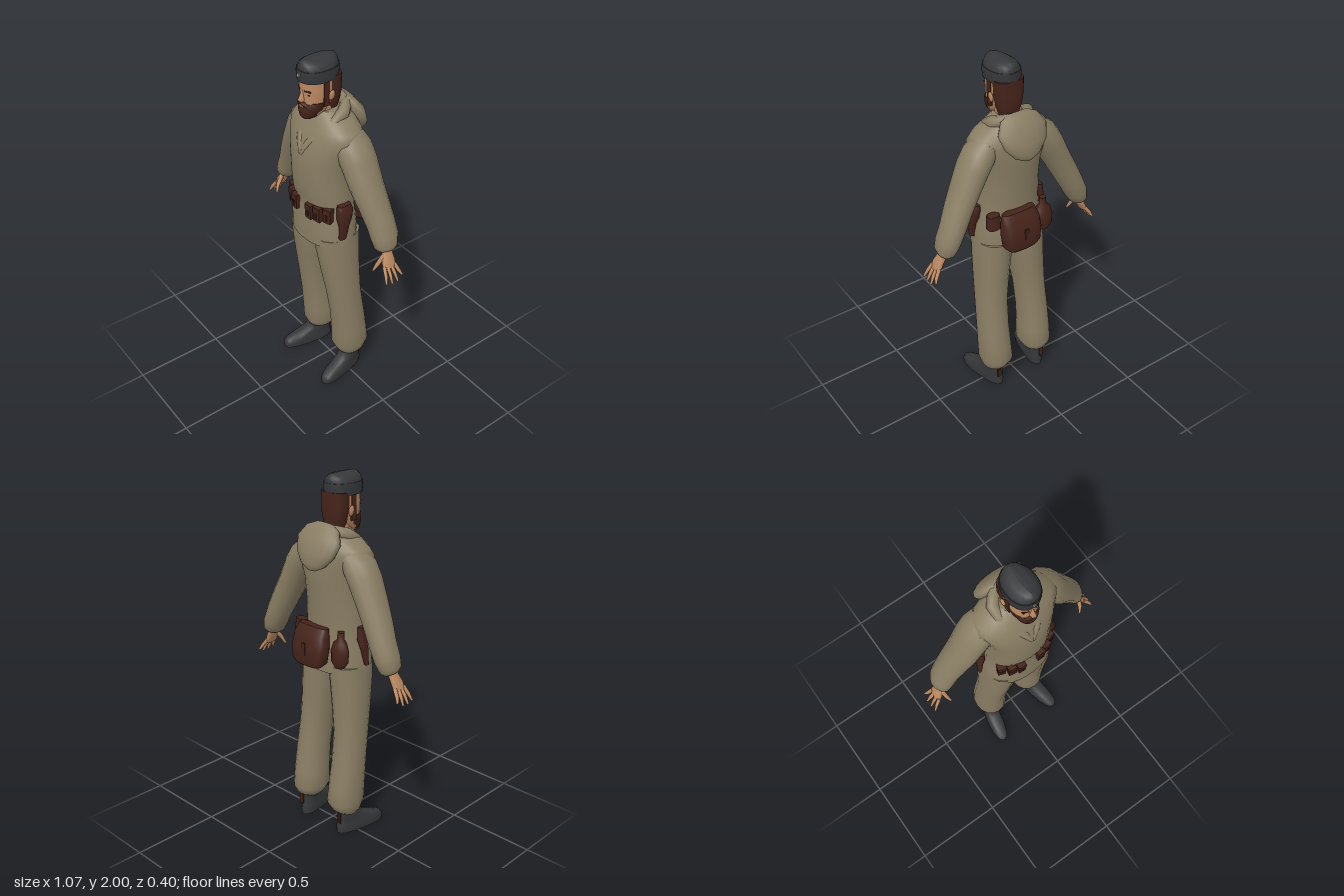
import * as THREE from 'three';

const mat = (name, color) => Object.assign(new THREE.MeshStandardMaterial({ color }), { name });

// Skin through rings [x, y, z, half depth, half width] along a path; closed at both ends
function loft(rings, { n = 14, p = 2, flat = false, ref = [0, 0, 1] } = {}) {
  const pos = [], idx = [], c = rings.map(r => new THREE.Vector3(r[0], r[1], r[2]));
  const last = rings.length - 1;
  const pw = v => Math.sign(v) * Math.abs(v) ** (2 / p);
  rings.forEach((r, i) => {
    const t = c[Math.min(i + 1, last)].clone().sub(c[Math.max(i - 1, 0)]);
    if (flat) t.set(0, 1, 0);
    t.normalize();
    const u = new THREE.Vector3(...ref).addScaledVector(t, -t.dot(new THREE.Vector3(...ref))).normalize();
    const v = t.clone().cross(u);
    for (let j = 0; j < n; j++) {
      const a = (j / n) * Math.PI * 2;
      const q = c[i].clone().addScaledVector(u, r[3] * pw(Math.cos(a))).addScaledVector(v, r[4] * pw(Math.sin(a)));
      pos.push(q.x, q.y, q.z);
    }
  });
  for (let i = 0; i < last; i++) for (let j = 0; j < n; j++) {
    const k = (j + 1) % n, a = i * n;
    idx.push(a + j, a + k, a + n + j, a + k, a + n + k, a + n + j);
  }
  for (const i of [0, last]) {
    const base = pos.length / 3;
    pos.push(...pos.slice(i * n * 3, (i + 1) * n * 3), c[i].x, c[i].y, c[i].z);
    for (let j = 0; j < n; j++) {
      const k = (j + 1) % n;
      idx.push(base + n, base + (i ? j : k), base + (i ? k : j));
    }
  }
  const g = new THREE.BufferGeometry();
  g.setAttribute('position', new THREE.Float32BufferAttribute(pos, 3));
  g.setIndex(idx);
  g.computeVertexNormals();
  return g;
}

export function createModel() {
  const root = new THREE.Group();
  root.name = 'soldier';
  const cloth = mat('khaki cloth', 0x8a7e64), skin = mat('skin', 0xbd8a62), hair = mat('brown hair', 0x45241a);
  const leather = mat('brown leather', 0x45231a), dark = mat('charcoal', 0x36373a);
  const soleMat = mat('sole', 0x5c5240), metal = mat('badge metal', 0x8c8c8c), eyeMat = mat('eye', 0x2a1c16);

  const add = (name, geo, m, parent = root) => {
    const mesh = new THREE.Mesh(geo, m);
    mesh.name = name;
    parent.add(mesh);
    return mesh;
  };
  const box = (name, w, h, d, x, y, z, m, parent = root) => {
    const b = add(name, new THREE.BoxGeometry(w, h, d), m, parent);
    b.position.set(x, y, z);
    return b;
  };

  // Jacket: rows of [height, half width, front z, back z]
  const body = [
    [0.96, 0.203, 0.183, -0.105], [1.05, 0.2, 0.182, -0.105], [1.13, 0.188, 0.175, -0.1],
    [1.19, 0.18, 0.172, -0.098], [1.24, 0.182, 0.184, -0.1], [1.32, 0.178, 0.194, -0.105],
    [1.45, 0.185, 0.196, -0.115], [1.53, 0.21, 0.182, -0.12], [1.6, 0.235, 0.155, -0.115],
    [1.64, 0.21, 0.138, -0.108], [1.68, 0.155, 0.118, -0.095], [1.72, 0.085, 0.095, -0.07],
  ];
  add('jacket', loft(body.map(([y, w, f, b]) => [0, y, (f + b) / 2, (f - b) / 2, w]), { n: 24, p: 2.2, flat: true }), cloth);
  add('collar', loft([[0, 1.58, 0.06, 0.08, 0.09], [0, 1.66, 0.05, 0.068, 0.074], [0, 1.71, 0.045, 0.062, 0.066]],
    { flat: true }), cloth);

  // Hood hanging on the back, with its rolled edge around the neck
  add('hood', loft([
    [0, 1.755, -0.055, 0.02, 0.06], [0, 1.735, -0.07, 0.038, 0.11], [0, 1.68, -0.1, 0.052, 0.145],
    [0, 1.61, -0.13, 0.05, 0.125], [0, 1.555, -0.15, 0.036, 0.075], [0, 1.53, -0.155, 0.012, 0.025],
  ], { n: 16 }), cloth);

  for (const s of [1, -1]) {
    const side = s > 0 ? 'left' : 'right';
    const m = rings => rings.map(([x, ...r]) => [x * s, ...r]);

    add(side + 'HoodRoll', loft(m([
      [0, 1.725, -0.07, 0.032, 0.03], [0.06, 1.725, -0.055, 0.032, 0.03], [0.105, 1.705, 0, 0.035, 0.032],
      [0.105, 1.675, 0.055, 0.03, 0.03], [0.075, 1.635, 0.11, 0.018, 0.026], [0.03, 1.56, 0.165, 0.012, 0.02],
      [0.004, 1.49, 0.187, 0.006, 0.008],
    ]), { n: 10, ref: [0, 1, 1] }), cloth);

    // Sleeve and hand
    add(side + 'Sleeve', loft(m([
      [0.15, 1.605, 0, 0.085, 0.06], [0.19, 1.555, 0, 0.1, 0.08], [0.232, 1.49, -0.003, 0.1, 0.08],
      [0.285, 1.385, -0.008, 0.094, 0.073], [0.332, 1.295, -0.018, 0.086, 0.071], [0.38, 1.195, -0.03, 0.079, 0.066],
      [0.414, 1.125, -0.032, 0.077, 0.062], [0.433, 1.075, -0.028, 0.066, 0.052], [0.44, 1.055, -0.026, 0.045, 0.034],
    ])), cloth);
    const hand = new THREE.Group();
    hand.name = side + 'Hand';
    root.add(hand);
    add('palm', loft(m([[0.436, 1.08, -0.025, 0.03, 0.024], [0.452, 1.04, -0.022, 0.032, 0.02],
      [0.472, 1.0, -0.016, 0.042, 0.018], [0.485, 0.968, -0.014, 0.038, 0.013]]), { n: 10 }), skin, hand);
    for (let i = 0; i < 4; i++) {
      const z = -0.045 + i * 0.021, tip = -0.07 + i * 0.036, drop = i === 0 ? 0.02 : i === 3 ? 0.008 : 0;
      add('finger', loft(m([[0.48, 0.985, z, 0.011, 0.011], [0.508, 0.945, (z + tip) / 2, 0.01, 0.01],
        [0.53 - drop / 2, 0.902 + drop, tip, 0.006, 0.006]]), { n: 7 }), skin, hand);
    }
    add('thumb', loft(m([[0.452, 1.035, 0, 0.014, 0.014], [0.444, 0.99, 0.034, 0.012, 0.011],
      [0.432, 0.95, 0.052, 0.006, 0.006]]), { n: 7 }), skin, hand);

    // Baggy trouser leg, gathered at the ankle
    add(side + 'TrouserLeg', loft(m([
      [0.145, 0.125, -0.035, 0.058, 0.054], [0.142, 0.145, -0.038, 0.082, 0.072], [0.135, 0.195, -0.04, 0.108, 0.092],
      [0.137, 0.29, -0.032, 0.104, 0.09], [0.137, 0.43, -0.017, 0.098, 0.087], [0.13, 0.6, 0.006, 0.099, 0.086],
      [0.118, 0.75, 0.02, 0.11, 0.093], [0.106, 0.9, 0.03, 0.123, 0.1], [0.1, 1.0, 0.033, 0.128, 0.1],
    ]), { n: 16, flat: true, p: 2.2 }), cloth);

    // Boot, toes turned out
    const boot = new THREE.Group();
    boot.name = side + 'Boot';
    boot.position.set(0.15 * s, 0, -0.03);
    boot.rotation.y = 0.19 * s;
    root.add(boot);
    add('bootUpper', loft([
      [0, 0.004, 0.078, 0.154, 0.044], [0, 0.03, 0.079, 0.156, 0.048], [0, 0.052, 0.073, 0.146, 0.046],
      [0, 0.075, 0.045, 0.112, 0.045], [0, 0.1, 0.015, 0.08, 0.046], [0, 0.13, 0, 0.064, 0.048], [0, 0.165, 0, 0.062, 0.05],
    ], { n: 16, p: 2.5, flat: true }), dark, boot);
    add('sole', loft([[0, 0, 0.078, 0.152, 0.043], [0, 0.004, 0.078, 0.154, 0.044]], { n: 16, p: 2.5, flat: true }), soleMat, boot);
    box('bootStrap', 0.022, 0.06, 0.008, 0.015 * s, 0.1, -0.072, leather, boot);

    // Front ammunition pouches
    for (const x of [0.06, 0.108, 0.152]) {
      const z = 0.037 + 0.138 * (1 - (x / 0.185) ** 2.2) ** (1 / 2.2);
      const pouch = new THREE.Group();
      pouch.name = side + 'AmmoPouch';
      pouch.position.set(x * s, 1.165, z + 0.004);
      pouch.rotation.y = s * Math.atan(0.5 * (x / 0.185) ** 2);
      root.add(pouch);
      box('pouchBody', 0.043, 0.08, 0.034, 0, 0, 0, leather, pouch);
      box('pouchFlap', 0.046, 0.034, 0.04, 0, 0.028, 0, leather, pouch);
      box('pouchTab', 0.01, 0.035, 0.006, 0, -0.005, 0.019, leather, pouch);
    }

    // Face details in pairs
    box(side + 'Eye', 0.024, 0.007, 0.006, 0.031 * s, 1.828, 0.158, eyeMat).rotation.y = 0.4 * s;
    box(side + 'Brow', 0.034, 0.008, 0.009, 0.033 * s, 1.847, 0.159, hair).rotation.y = 0.4 * s;
    box(side + 'Sideburn', 0.01, 0.13, 0.034, 0.071 * s, 1.825, 0.075, hair);
    const ear = add(side + 'Ear', new THREE.SphereGeometry(1, 8, 6), skin);
    ear.scale.set(0.01, 0.03, 0.019);
    ear.position.set(0.081 * s, 1.815, 0.05);
    ear.rotation.z = -0.15 * s;
  }

  // Head
  add('neck', loft([[0, 1.62, 0.04, 0.055, 0.055], [0, 1.76, 0.05, 0.055, 0.054]], { flat: true }), skin);
  add('head', loft([
    [0, 1.695, 0.125, 0.038, 0.036], [0, 1.72, 0.1, 0.067, 0.054], [0, 1.765, 0.08, 0.09, 0.066],
    [0, 1.81, 0.072, 0.097, 0.073], [0, 1.85, 0.07, 0.1, 0.075], [0, 1.91, 0.07, 0.1, 0.075],
  ], { n: 18, flat: true, p: 2.2 }), skin);
  add('hair', loft([
    [0, 1.715, 0.015, 0.04, 0.05], [0, 1.76, 0.015, 0.05, 0.064], [0, 1.82, 0.015, 0.055, 0.077], [0, 1.91, 0.017, 0.054, 0.08],
  ], { n: 16, flat: true, p: 2.6 }), hair);
  add('beard', loft([
    [0, 1.69, 0.14, 0.026, 0.028], [0, 1.703, 0.128, 0.048, 0.044], [0, 1.735, 0.11, 0.071, 0.06],
    [0, 1.762, 0.105, 0.072, 0.068], [0, 1.782, 0.09, 0.074, 0.071],
  ], { n: 16, flat: true, p: 2.2 }), hair);
  add('moustache', loft([[-0.042, 1.755, 0.15, 0.008, 0.007], [-0.02, 1.777, 0.172, 0.011, 0.01],
    [0, 1.782, 0.176, 0.011, 0.008], [0.02, 1.777, 0.172, 0.011, 0.01], [0.042, 1.755, 0.15, 0.008, 0.007]], { n: 8 }), hair);
  box('mouth', 0.034, 0.006, 0.008, 0, 1.762, 0.176, skin);
  add('nose', loft([[0, 1.785, 0.17, 0.012, 0.013], [0, 1.797, 0.172, 0.023, 0.017], [0, 1.815, 0.167, 0.019, 0.011],
    [0, 1.848, 0.162, 0.008, 0.008]], { n: 8, flat: true }), skin);

  // Side cap with a ridge on top and a turned-up band
  add('cap', loft([
    [0, 1.9, 0.073, 0.106, 0.08], [0, 1.955, 0.073, 0.108, 0.081], [0, 1.98, 0.073, 0.105, 0.063],
    [0, 1.994, 0.073, 0.095, 0.042], [0, 2.0, 0.073, 0.082, 0.008],
  ], { n: 20, flat: true, p: 2.2 }), dark);
  add('capBand', loft([[0, 1.893, 0.073, 0.108, 0.083], [0, 1.925, 0.073, 0.112, 0.086], [0, 1.955, 0.073, 0.111, 0.084]],
    { n: 20, flat: true, p: 2.2 }), dark);
  const badge = add('badge', new THREE.CylinderGeometry(0.011, 0.011, 0.006, 10), metal);
  badge.rotation.x = Math.PI / 2;
  badge.position.set(-0.003, 1.93, 0.186);

  // Gear around the waist
  add('holster', loft([[0.2, 1.02, 0.07, 0.02, 0.014], [0.205, 1.1, 0.065, 0.028, 0.018], [0.2, 1.15, 0.06, 0.042, 0.026],
    [0.197, 1.2, 0.055, 0.046, 0.027], [0.19, 1.228, 0.055, 0.04, 0.018]], { n: 12, flat: true, p: 3 }), leather);
  add('scabbard', loft([[-0.222, 1.02, 0.025, 0.012, 0.009], [-0.214, 1.11, 0.015, 0.022, 0.015], [-0.2, 1.16, 0.01, 0.027, 0.017],
    [-0.196, 1.23, 0.01, 0.022, 0.014]], { n: 10, flat: true, p: 3 }), leather);
  add('haversack', loft([[0.03, 1.005, -0.15, 0.035, 0.085], [0.03, 1.03, -0.145, 0.05, 0.11], [0.03, 1.1, -0.14, 0.053, 0.118],
    [0.03, 1.17, -0.128, 0.045, 0.112], [0.03, 1.215, -0.112, 0.025, 0.1]], { n: 20, flat: true, p: 3 }), leather);
  box('haversackStrap', 0.022, 0.09, 0.006, 0.03, 1.09, -0.193, leather);
  add('canteen', loft([[-0.145, 1.02, -0.1, 0.022, 0.03], [-0.145, 1.05, -0.1, 0.036, 0.052], [-0.145, 1.11, -0.098, 0.038, 0.056],
    [-0.145, 1.155, -0.095, 0.03, 0.042], [-0.145, 1.175, -0.092, 0.018, 0.02], [-0.145, 1.215, -0.09, 0.018, 0.02]],
  { n: 12, flat: true }), leather);
  add('hipPouch', loft([[0.16, 1.13, -0.075, 0.03, 0.038], [0.16, 1.21, -0.072, 0.026, 0.036]],
    { n: 12, flat: true, p: 3 }), leather);

  return root;
}
